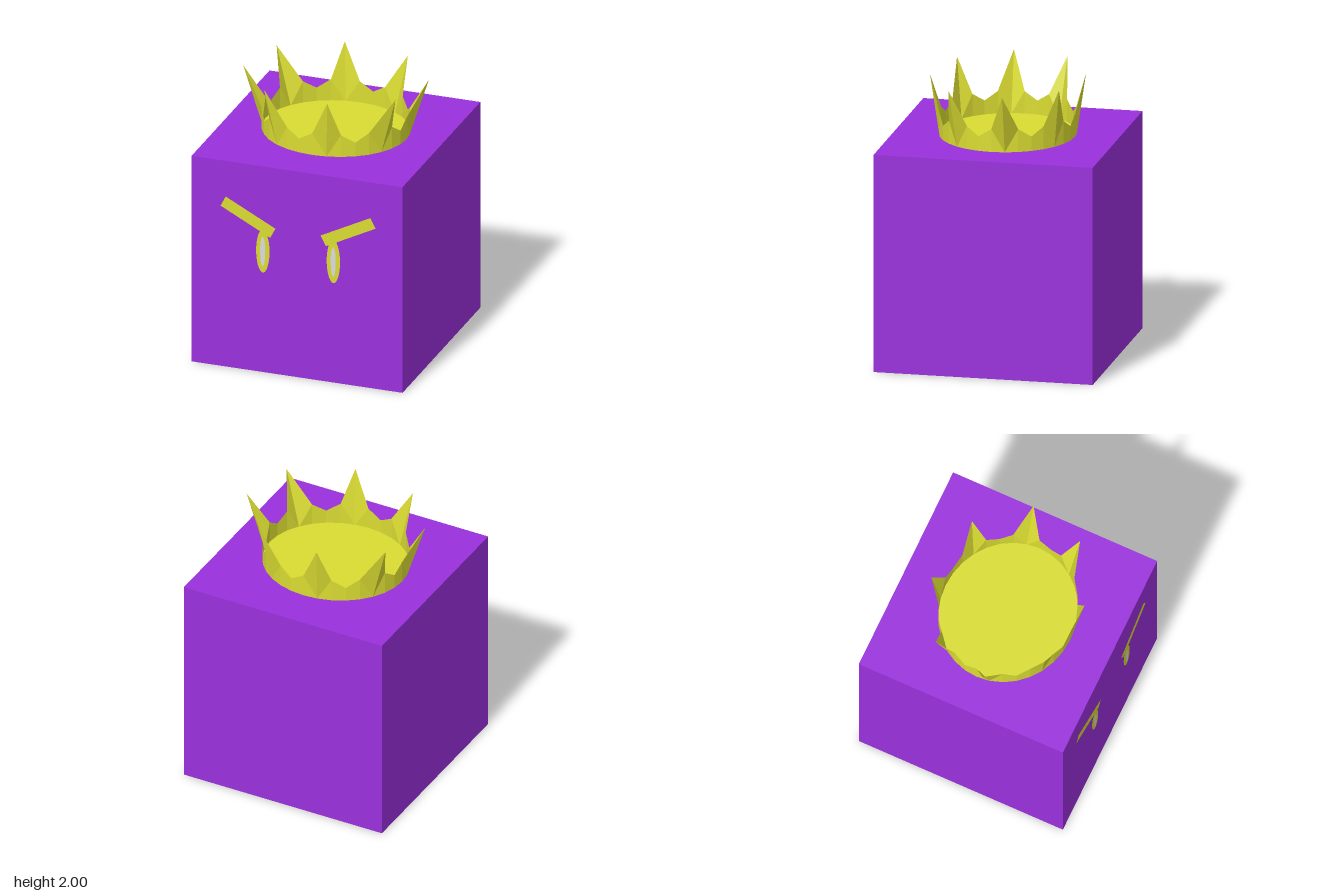
import * as THREE from 'three';

const purple = new THREE.MeshStandardMaterial({ color: 0x9a30dc });
purple.name = 'purple';
const gold = new THREE.MeshStandardMaterial({ color: 0xdadc32, side: THREE.DoubleSide });
gold.name = 'gold';
const paleGrey = new THREE.MeshStandardMaterial({ color: 0xdcdce0 });
paleGrey.name = 'paleGrey';

const SIDE = 1.57;
const STEPS = 32;

function part(name, geometry, material) {
  const mesh = new THREE.Mesh(geometry, material);
  mesh.name = name;
  return mesh;
}

// Point on an ellipse around the y axis, measured from the front
function ringPoint(i, rx, y, rz) {
  const a = (i / STEPS) * Math.PI * 2;
  return new THREE.Vector3(Math.sin(a) * rx, y, Math.cos(a) * rz);
}

// Crown wall: every fourth rim point is an outward-leaning tip, with a notch between tips
function crownWall() {
  const base = (i) => ringPoint(i, 0.525, SIDE, 0.48);
  const rim = (i) => {
    const k = i % 4;
    if (k === 1) return ringPoint(i, 0.665, 2, 0.54);
    return ringPoint(i, 0.525, k === 3 ? 1.675 : 1.735, 0.48);
  };
  const points = [];
  for (let i = 0; i < STEPS; i++) {
    const [a, b, c, d] = [base(i), base(i + 1), rim(i + 1), rim(i)];
    // Diagonals run to the rim points beside each tip
    if (i % 4 === 0 || i % 4 === 2) points.push(a, b, d, b, c, d);
    else points.push(a, b, c, a, c, d);
  }
  const geometry = new THREE.BufferGeometry().setFromPoints(points);
  geometry.computeVertexNormals();
  return geometry;
}

function crown() {
  const group = new THREE.Group();
  group.name = 'crown';
  group.add(part('crownWall', crownWall(), gold));
  const floor = part('crownFloor', new THREE.CircleGeometry(1, STEPS), gold);
  floor.scale.set(0.525, 0.48, 1);
  floor.rotation.x = -Math.PI / 2;
  floor.position.y = SIDE + 0.004;
  group.add(floor);
  return group;
}

// Slanted brow over a narrow oval eye with a pale slit
function eye(name, side, x) {
  const group = new THREE.Group();
  group.name = name;
  const brow = part('brow', new THREE.PlaneGeometry(0.416, 0.085), gold);
  brow.position.set(side * 0.11, 1.167, 0.004);
  brow.rotation.z = side * 0.473;
  const oval = part('eyeOval', new THREE.CircleGeometry(1, 24), gold);
  oval.scale.set(0.05, 0.165, 1);
  oval.position.set(0, 0.925, 0.003);
  const slit = part('eyeSlit', new THREE.CircleGeometry(1, 24), paleGrey);
  slit.scale.set(0.019, 0.112, 1);
  slit.position.set(0, 0.923, 0.006);
  group.add(brow, oval, slit);
  group.position.set(x, 0, SIDE / 2);
  return group;
}

export function createModel() {
  const model = new THREE.Group();
  model.name = 'crownedCube';
  const body = part('body', new THREE.BoxGeometry(SIDE, SIDE, SIDE), purple);
  body.position.y = SIDE / 2;
  model.add(body, crown(), eye('rightEye', -1, -0.254), eye('leftEye', 1, 0.271));
  return model;
}
